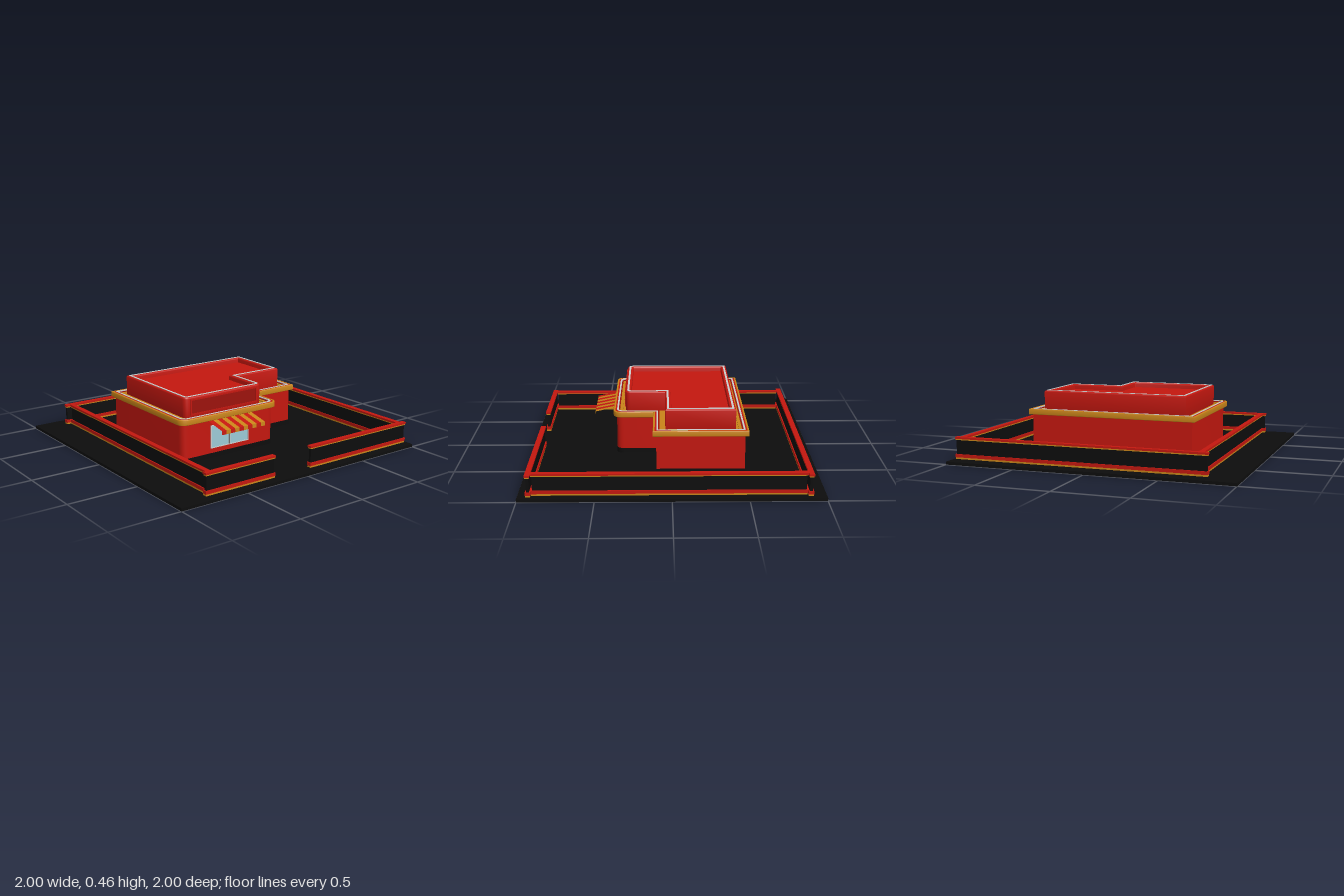
import * as THREE from 'three';
import { toCreasedNormals } from 'three/addons/utils/BufferGeometryUtils.js';

const mat = (color, side = THREE.FrontSide) => new THREE.MeshStandardMaterial({ color, side });
const RED = mat(0xc4170f), DARK_RED = mat(0x9c120c), ORANGE = mat(0xc98419);
const BLACK = mat(0x0d0d0d), PALE = mat(0xcccccc), GLASS = mat(0x9ccbd6);

function add(parent, name, geometry, material) {
  const mesh = new THREE.Mesh(geometry, material);
  mesh.name = name;
  parent.add(mesh);
  return mesh;
}

// Box given by its lower and upper limits
function block(parent, name, material, x0, x1, y0, y1, z0, z1) {
  const mesh = add(parent, name, new THREE.BoxGeometry(x1 - x0, y1 - y0, z1 - z0), material);
  mesh.position.set((x0 + x1) / 2, (y0 + y1) / 2, (z0 + z1) / 2);
  return mesh;
}

// L-shaped footprint moved inward by d, with rounded corners on the front wing
function footprint(d, Kind = THREE.Shape) {
  const left = -0.575 + d, right = 0.59 - d, back = 0.5 - d, front = -0.385 + d;
  const notchX = 0.205 - d, notchY = -0.103 + d;
  const r = Math.max(0.05 - d * 0.35, 0.02);
  const s = new Kind();
  s.moveTo(left, back);
  s.lineTo(left, front + r);
  s.quadraticCurveTo(left, front, left + r, front);
  s.lineTo(notchX - r, front);
  s.quadraticCurveTo(notchX, front, notchX, front + r);
  s.lineTo(notchX, notchY);
  s.lineTo(right, notchY);
  s.lineTo(right, back);
  s.closePath();
  return s;
}

// Upright slab on the footprint; an inner inset makes it a ring
function slab(parent, name, material, y0, y1, outer, inner = null, bevel = 0) {
  const shape = footprint(outer + bevel);
  if (inner !== null) shape.holes.push(footprint(inner - bevel, THREE.Path));
  const geometry = new THREE.ExtrudeGeometry(shape, {
    depth: y1 - y0 - 2 * bevel, curveSegments: 8,
    bevelEnabled: bevel > 0, bevelSize: bevel, bevelThickness: bevel, bevelSegments: 3,
  });
  geometry.translate(0, 0, y0 + bevel);
  geometry.rotateX(-Math.PI / 2);
  return add(parent, name, toCreasedNormals(geometry, 0.6), material);
}

// Fence run: panel between a lower and an upper rail
function fence(parent, name, x0, x1, z0, z1) {
  const run = new THREE.Group();
  run.name = name;
  parent.add(run);
  const p = 0.008;
  block(run, 'panel', BLACK, x0 + p, x1 - p, 0.02, 0.165, z0 + p, z1 - p);
  const rails = [
    ['lowerTrim', ORANGE, 0.024, 0.036, 0.002], ['lowerRail', RED, 0.036, 0.058, 0],
    ['upperTrim', ORANGE, 0.155, 0.163, 0.003], ['upperRail', RED, 0.163, 0.176, 0],
  ];
  for (const [part, material, y0, y1, d] of rails) {
    block(run, part, material, x0 + d, x1 - d, y0, y1, z0 + d, z1 - d);
  }
}

// Rectangular frame standing on a front wall
function frame(parent, name, material, x0, x1, y0, y1, z0, z1, w) {
  const g = new THREE.Group();
  g.name = name;
  parent.add(g);
  block(g, 'bottomBar', material, x0, x1, y0, y0 + w, z0, z1);
  block(g, 'topBar', material, x0, x1, y1 - w, y1, z0, z1);
  block(g, 'sideBar', material, x0, x0 + w, y0 + w, y1 - w, z0, z1);
  block(g, 'sideBar', material, x1 - w, x1, y0 + w, y1 - w, z0, z1);
}

// One awning stripe: sloped sheet with a hanging front edge
function awningStripe(x0, x1) {
  const profile = [[0.297, 0.385], [0.262, 0.55], [0.235, 0.552]];
  const pos = [];
  for (let i = 0; i < 2; i++) {
    const [ya, za] = profile[i], [yb, zb] = profile[i + 1];
    pos.push(x0, ya, za, x0, yb, zb, x1, yb, zb, x0, ya, za, x1, yb, zb, x1, ya, za);
  }
  const g = new THREE.BufferGeometry();
  g.setAttribute('position', new THREE.Float32BufferAttribute(pos, 3));
  g.computeVertexNormals();
  return g;
}

export function createModel() {
  const model = new THREE.Group();
  model.name = 'restaurant';

  block(model, 'ground', BLACK, -1, 1, 0, 0.02, -1, 1);

  // Perimeter fence with an entrance gap at the front
  const fences = new THREE.Group();
  fences.name = 'perimeterFence';
  model.add(fences);
  fence(fences, 'backFence', -0.795, 0.98, -0.912, -0.876);
  fence(fences, 'rightFence', -0.763, -0.727, -0.876, 0.91);
  fence(fences, 'leftFence', 0.917, 0.953, -0.876, 0.91);
  fence(fences, 'frontFenceRight', -0.782, -0.23, 0.91, 0.945);
  fence(fences, 'frontFenceLeft', 0.07, 0.98, 0.91, 0.945);

  // Ground floor
  const building = new THREE.Group();
  building.name = 'building';
  model.add(building);
  slab(building, 'plinth', BLACK, 0.02, 0.055, -0.003);
  slab(building, 'walls', RED, 0.055, 0.3, 0);

  // Cornice with nested bands on its top
  slab(building, 'corniceBase', ORANGE, 0.297, 0.318, -0.014);
  slab(building, 'corniceRim', ORANGE, 0.296, 0.336, -0.023, -0.009, 0.004);
  slab(building, 'corniceRedBand', RED, 0.315, 0.334, -0.011, 0.001);
  slab(building, 'cornicePaleBand', PALE, 0.315, 0.337, 0.001, 0.013);
  slab(building, 'corniceInnerRed', DARK_RED, 0.315, 0.331, 0.013, 0.022);
  slab(building, 'corniceInnerBand', ORANGE, 0.315, 0.326, 0.022, 0.043);

  // Upper storey: parapet ring around a sunken roof
  slab(building, 'parapet', RED, 0.31, 0.46, 0.062, 0.104, 0.01);
  slab(building, 'parapetStrip', PALE, 0.45, 0.463, 0.074, 0.088);
  slab(building, 'roof', RED, 0.315, 0.425, 0.1);

  // Blank sign panel
  block(building, 'signPanel', DARK_RED, -0.46, 0.095, 0.34, 0.44, 0.318, 0.325);
  frame(building, 'signFrame', RED, -0.467, 0.102, 0.334, 0.446, 0.316, 0.329, 0.01);

  // Glazed entrance
  block(building, 'glass', GLASS, -0.34, -0.025, 0.095, 0.25, 0.37, 0.387);
  frame(building, 'windowFrame', PALE, -0.345, -0.02, 0.09, 0.255, 0.375, 0.391, 0.006);
  block(building, 'mullion', PALE, -0.194, -0.178, 0.095, 0.25, 0.375, 0.391);
  block(building, 'mullionGap', BLACK, -0.187, -0.185, 0.095, 0.25, 0.38, 0.392);

  // Striped awning
  const awning = new THREE.Group();
  awning.name = 'awning';
  building.add(awning);
  const cloth = [mat(0xc4170f, THREE.DoubleSide), mat(0xc98419, THREE.DoubleSide)];
  const count = 10, start = -0.37, width = 0.0367;
  for (let i = 0; i < count; i++) {
    add(awning, 'awningStripe', awningStripe(start + i * width, start + (i + 1) * width), cloth[i % 2]);
  }
  return model;
}
